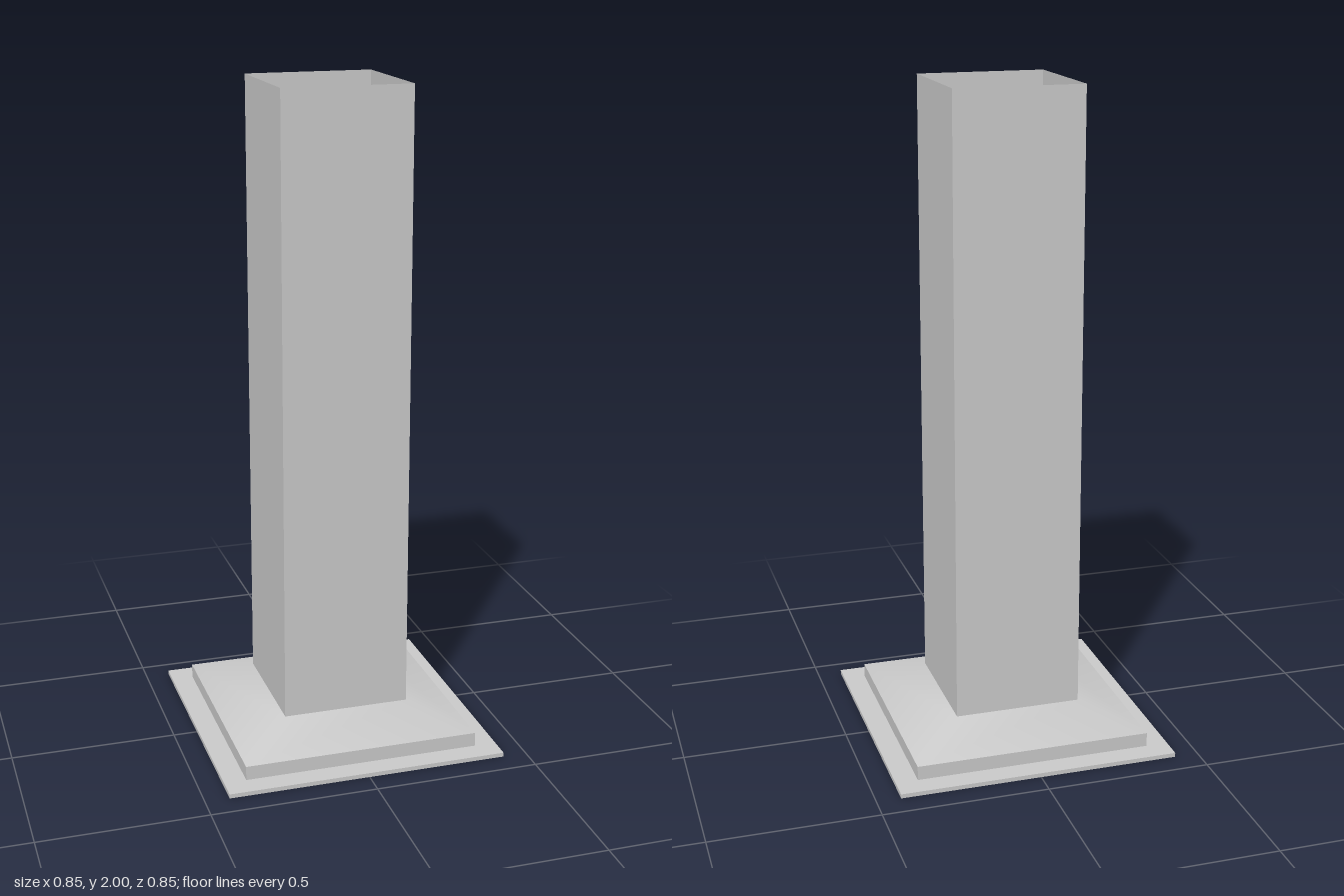
import * as THREE from 'three';

const flat = new THREE.MeshStandardMaterial({ color: 0xcccccc, flatShading: true, side: THREE.DoubleSide });
const smooth = new THREE.MeshStandardMaterial({ color: 0xcccccc, side: THREE.DoubleSide });

// Open square sleeve given by half-widths at the top and bottom
function squareSleeve(name, topHalf, bottomHalf, y0, y1, material) {
  const geometry = new THREE.CylinderGeometry(
    topHalf * Math.SQRT2, bottomHalf * Math.SQRT2, y1 - y0, 4, 1, true);
  geometry.rotateY(Math.PI / 4);
  const mesh = new THREE.Mesh(geometry, material);
  mesh.name = name;
  mesh.position.y = (y0 + y1) / 2;
  return mesh;
}

export function createModel() {
  const group = new THREE.Group();
  group.name = 'squarePost';

  const plateTop = 0.013, stepTop = 0.056, slopeTop = 0.113;
  const plateHalf = 0.427, stepHalf = 0.36, shaftHalf = 0.194;

  // Thin ground plate, which also closes the bottom of the shaft
  const plate = new THREE.Mesh(
    new THREE.BoxGeometry(plateHalf * 2, plateTop, plateHalf * 2), flat);
  plate.name = 'basePlate';
  plate.position.y = plateTop / 2;

  group.add(
    plate,
    // Upright rim and sloping collar of the foot
    squareSleeve('baseStep', stepHalf, stepHalf, plateTop, stepTop, flat),
    squareSleeve('baseSlope', shaftHalf, stepHalf, stepTop, slopeTop, smooth),
    // Hollow shaft, open at the top
    squareSleeve('shaft', shaftHalf, shaftHalf, plateTop, 2, flat),
  );
  return group;
}
